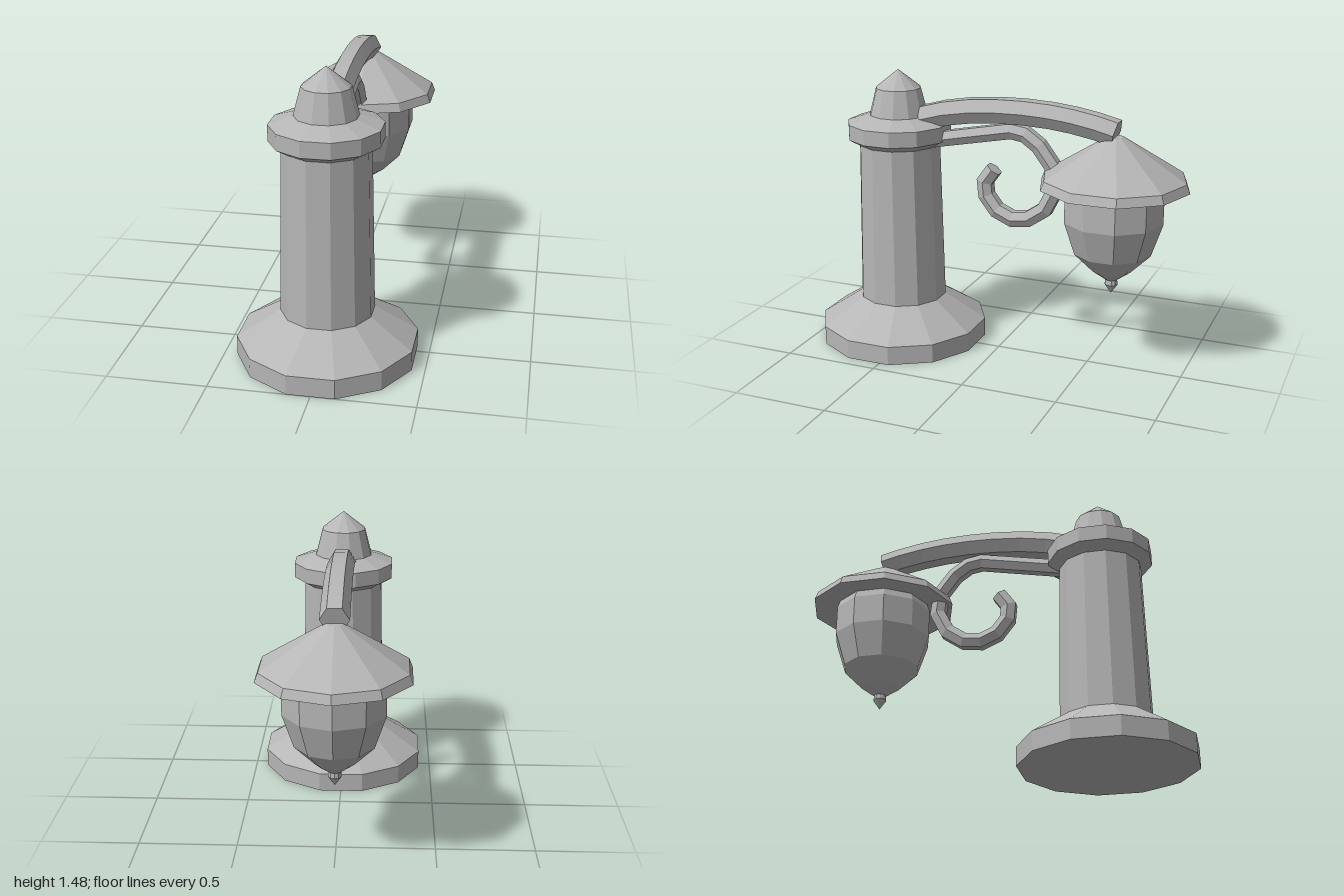
import * as THREE from 'three';

const POST_Z = 0.565;
const LAMP_Z = -0.617;

export function createModel() {
  const group = new THREE.Group();
  const stone = new THREE.MeshStandardMaterial({ color: 0xb6b6b6, flatShading: true });
  stone.name = 'plain grey';

  const add = (name, geometry, z = 0) => {
    const mesh = new THREE.Mesh(geometry, stone);
    mesh.name = name;
    mesh.position.z = z;
    group.add(mesh);
  };

  // Faceted turned part; profile runs from bottom to top as [radius, y]
  const turned = (profile, sides, start, scale = 1) =>
    new THREE.LatheGeometry(profile.map(([r, y]) => new THREE.Vector2(r * scale, y)), sides, start);

  // Twelve-sided post: radii are measured to the flats
  const flats = 1 / Math.cos(Math.PI / 12);
  const post = (name, profile) => add(name, turned(profile, 12, Math.PI / 12, flats), POST_Z);
  post('base', [[0, 0], [0.435, 0], [0.435, 0.1], [0.225, 0.24], [0, 0.24]]);
  post('shaft', [[0.225, 0.24], [0.208, 1.1]]);
  post('collar', [[0, 1.08], [0.2, 1.08], [0.265, 1.12], [0.265, 1.2], [0.15, 1.24]]);
  post('cap', [[0.15, 1.24], [0.115, 1.38], [0, 1.475]]);

  // Ten-sided hanging lantern
  const lamp = (name, profile) => add(name, turned(profile, 10, 0), LAMP_Z);
  lamp('shade', [[0, 1.0], [0.24, 0.99], [0.383, 0.975], [0.365, 1.02], [0.065, 1.21], [0.04, 1.225], [0, 1.225]]);
  lamp('globe', [[0, 0.48], [0.03, 0.48], [0.1, 0.53], [0.2, 0.63], [0.257, 0.8], [0.257, 0.95], [0.24, 0.995]]);
  lamp('finial', [[0, 0.405], [0.034, 0.455], [0.03, 0.49]]);

  // Curved top arm and scrolled bracket
  add('arm', hexBar([[0.42, 1.232], [0.29, 1.268], [0.15, 1.292], [0, 1.305], [-0.14, 1.308],
    [-0.28, 1.302], [-0.4, 1.289], [-0.52, 1.268], [-0.622, 1.243]], 0.071));
  add('scrollBracket', hexBar([[0.4, 1.112], [-0.07, 1.205], [-0.145, 1.193], [-0.22, 1.14], [-0.295, 1.04],
    [-0.31, 0.92], [-0.255, 0.81], [-0.165, 0.748], [-0.075, 0.738], [0.01, 0.775],
    [0.068, 0.85], [0.075, 0.925], [0.025, 0.995]], 0.045));

  return group;
}

// Closed six-sided bar with mitred joints along a path of [z, y] points
function hexBar(path, radius) {
  const points = path.map(([z, y]) => new THREE.Vector3(0, y, z));
  const last = points.length - 1;
  const sides = 6;
  const positions = [];
  const index = [];
  points.forEach((p, i) => {
    const into = points[Math.max(i, 1)].clone().sub(points[Math.max(i, 1) - 1]).normalize();
    const out = points[Math.min(i + 1, last)].clone().sub(points[Math.min(i, last - 1)]).normalize();
    const t = into.clone().add(out).normalize();
    const mitre = 1 / t.dot(into);
    for (let j = 0; j < sides; j++) {
      const a = (j / sides) * Math.PI * 2;
      const n = radius * Math.sin(a) * mitre;
      positions.push(radius * Math.cos(a), p.y + n * t.z, p.z - n * t.y);
    }
  });
  for (let i = 0; i < last; i++) {
    for (let j = 0; j < sides; j++) {
      const k = (j + 1) % sides;
      const a = i * sides + j, b = i * sides + k;
      index.push(a, b, b + sides, a, b + sides, a + sides);
    }
  }
  // End caps
  const end = last * sides;
  for (let j = 1; j < sides - 1; j++) {
    index.push(0, j + 1, j, end, end + j, end + j + 1);
  }
  const geometry = new THREE.BufferGeometry();
  geometry.setAttribute('position', new THREE.Float32BufferAttribute(positions, 3));
  geometry.setIndex(index);
  geometry.computeVertexNormals();
  return geometry;
}
